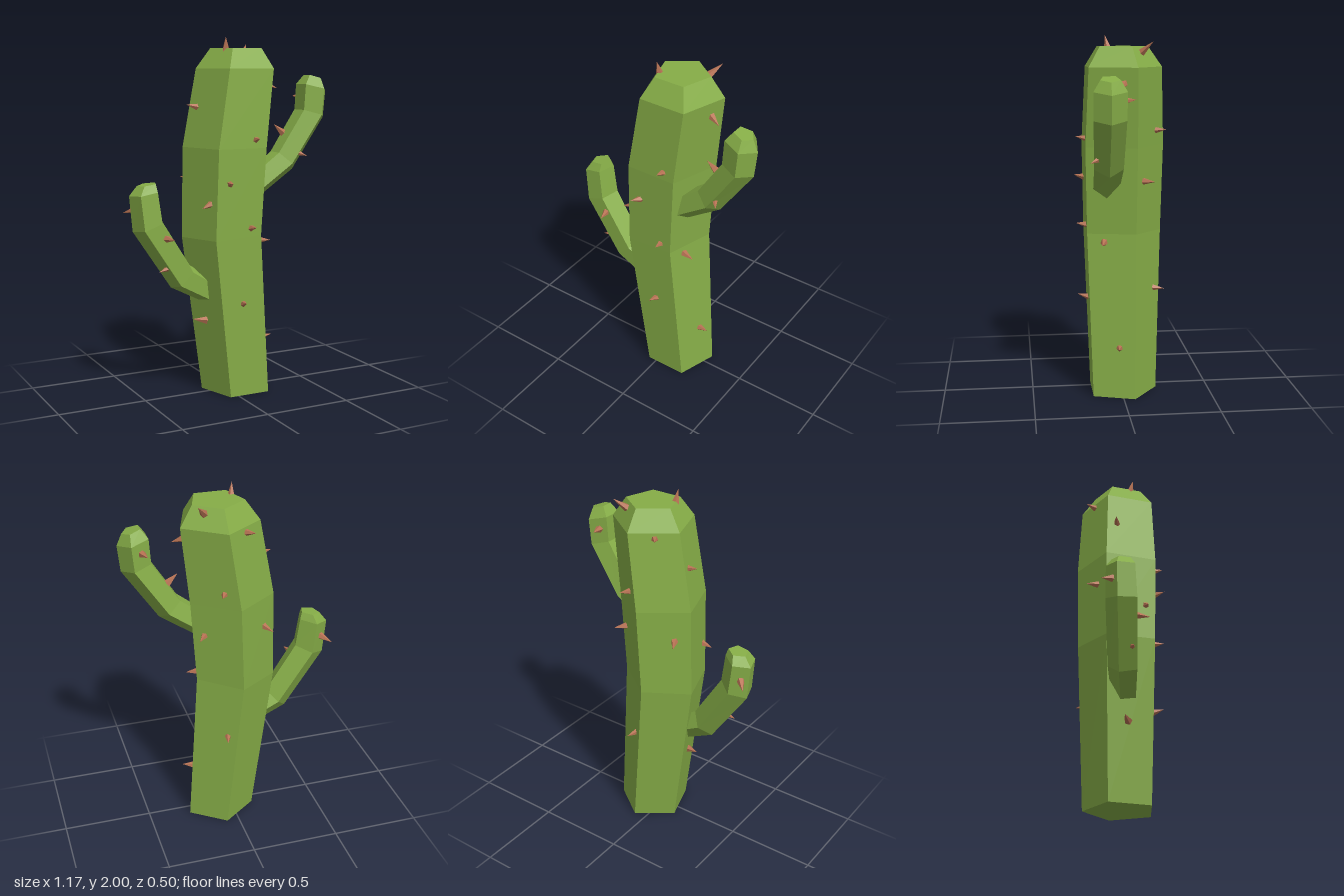
import * as THREE from 'three';

const green = new THREE.MeshStandardMaterial({ color: 0x86ad47, flatShading: true });
green.name = 'cactusGreen';
const copper = new THREE.MeshStandardMaterial({ color: 0xb87354, flatShading: true });
copper.name = 'spikeCopper';

// Five-sided stem lofted through rings [x, y, z, radius, leanDegrees], bottom to top
function stem(name, rings, startDeg) {
  const rad = THREE.MathUtils.degToRad;
  const loops = rings.map(([x, y, z, r, lean]) => {
    const loop = [];
    for (let i = 0; i < 5; i++) {
      const t = rad(startDeg + i * 72);
      const side = r * Math.sin(t);
      loop.push([x + side * Math.cos(rad(lean)), y + side * Math.sin(rad(lean)), z + r * Math.cos(t)]);
    }
    return loop;
  });
  const pos = [];
  const tri = (a, b, c) => pos.push(...a, ...b, ...c);
  for (let k = 0; k < loops.length - 1; k++) {
    for (let i = 0; i < 5; i++) {
      const j = (i + 1) % 5;
      tri(loops[k][i], loops[k][j], loops[k + 1][j]);
      tri(loops[k][i], loops[k + 1][j], loops[k + 1][i]);
    }
  }
  // End caps
  const bottom = loops[0], top = loops[loops.length - 1];
  for (let i = 1; i < 4; i++) {
    tri(top[0], top[i], top[i + 1]);
    tri(bottom[0], bottom[i + 1], bottom[i]);
  }
  const geo = new THREE.BufferGeometry();
  geo.setAttribute('position', new THREE.Float32BufferAttribute(pos, 3));
  geo.computeVertexNormals();
  const mesh = new THREE.Mesh(geo, green);
  mesh.name = name;
  return mesh;
}

// Small cone from a base point on the skin to its tip, sunk slightly into the stem
function spike(base, tip) {
  const b = new THREE.Vector3(...base), t = new THREE.Vector3(...tip);
  const dir = t.clone().sub(b).normalize();
  b.addScaledVector(dir, -0.01);
  const len = t.distanceTo(b);
  const geo = new THREE.ConeGeometry(0.023, len, 5);
  geo.translate(0, len / 2, 0);
  const mesh = new THREE.Mesh(geo, copper);
  mesh.position.copy(b);
  mesh.quaternion.setFromUnitVectors(new THREE.Vector3(0, 1, 0), dir);
  mesh.name = 'spike';
  return mesh;
}

function spikeGroup(name, list) {
  const g = new THREE.Group();
  g.name = name;
  for (const [base, tip] of list) g.add(spike(base, tip));
  return g;
}

export function createModel() {
  const model = new THREE.Group();
  model.name = 'cactus';

  model.add(stem('trunk', [
    [0.07, 0, 0, 0.203, 0],
    [-0.015, 0.91, 0, 0.236, 4],
    [0.005, 1.4, 0, 0.247, 0],
    [0.067, 1.83, 0, 0.228, 0],
    [0.07, 1.94, 0, 0.15, 0],
  ], 180));

  // Low arm on the right side, flat face forward
  model.add(stem('rightArm', [
    [-0.08, 0.57, 0.025, 0.07, 57],
    [-0.28, 0.685, 0.02, 0.086, 45],
    [-0.475, 0.985, 0.015, 0.092, 20],
    [-0.495, 1.165, 0.01, 0.085, 10],
    [-0.48, 1.212, 0.01, 0.056, 8],
  ], 180));

  // High arm on the left side, ridge facing outward
  model.add(stem('leftArm', [
    [0.1, 1.165, 0.085, 0.075, -55],
    [0.314, 1.32, 0.09, 0.083, -42],
    [0.485, 1.58, 0.1, 0.09, -16],
    [0.497, 1.725, 0.1, 0.092, -14],
    [0.505, 1.782, 0.1, 0.055, -16],
  ], 90));

  model.add(spikeGroup('trunkSpikes', [
    // front
    [[0.085, 1.445, 0.19], [0.08, 1.455, 0.25]],
    [[-0.07, 1.21, 0.19], [-0.095, 1.22, 0.25]],
    [[0.06, 0.96, 0.185], [0.065, 0.97, 0.248]],
    [[0.02, 0.535, 0.175], [0.01, 0.55, 0.238]],
    // right side
    [[-0.165, 1.62, -0.02], [-0.23, 1.635, -0.022]],
    [[-0.16, 1.1, 0.14], [-0.22, 1.08, 0.155]],
    [[-0.15, 0.43, 0.04], [-0.22, 0.44, 0.025]],
    // left side
    [[0.25, 1.745, 0], [0.313, 1.72, 0.025]],
    [[0.16, 0.875, 0.1], [0.225, 0.87, 0.115]],
    [[0.215, 0.285, 0.02], [0.28, 0.295, 0.03]],
    // back
    [[0.08, 1.485, -0.19], [0.11, 1.49, -0.25]],
    [[0.17, 1.215, -0.11], [0.215, 1.215, -0.175]],
    [[0.06, 0.59, -0.18], [0.08, 0.585, -0.248]],
    [[-0.045, 1.8, -0.145], [-0.085, 1.81, -0.2]],
    [[-0.16, 1.23, -0.125], [-0.195, 1.22, -0.19]],
    // crown
    [[-0.03, 1.93, 0.06], [-0.037, 2, 0.075]],
    [[0.165, 1.91, -0.105], [0.21, 1.965, -0.16]],
  ]));

  model.add(spikeGroup('armSpikes', [
    [[-0.4, 0.92, 0.09], [-0.385, 0.92, 0.16]],
    [[-0.37, 0.755, 0.06], [-0.44, 0.735, 0.07]],
    [[-0.535, 1.07, -0.045], [-0.58, 1.05, -0.098]],
    [[0.325, 1.475, 0.06], [0.27, 1.52, 0.065]],
    [[0.37, 1.365, 0.14], [0.412, 1.345, 0.195]],
    [[0.465, 1.67, 0.025], [0.45, 1.675, -0.04]],
  ]));

  return model;
}
